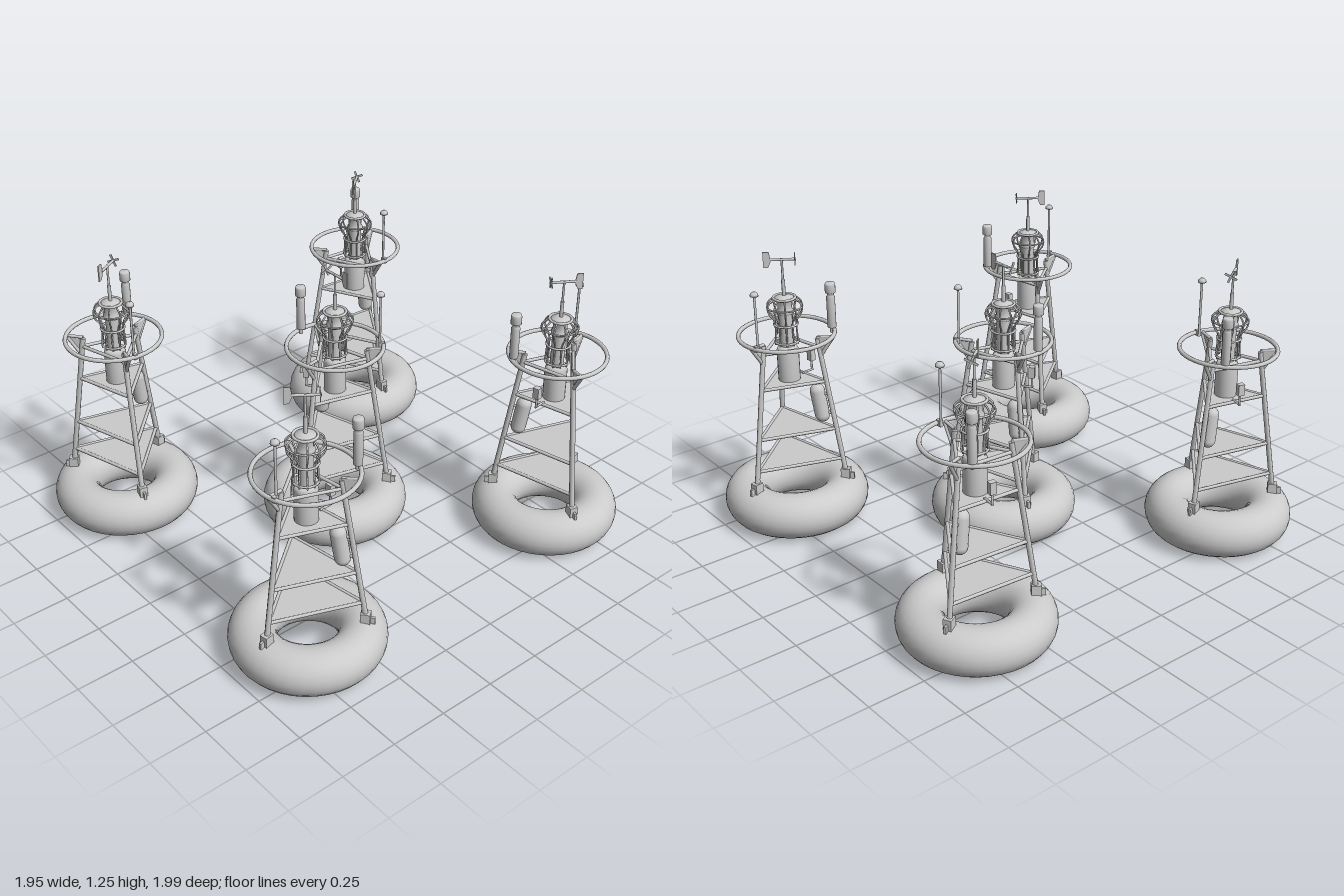
import * as THREE from 'three';

const mat = new THREE.MeshStandardMaterial({ color: 0xcccccc, side: THREE.DoubleSide });
const rad = THREE.MathUtils.degToRad;

// Point at a bearing (degrees from +x towards +z), radius and height
const at = (deg, r, y) => new THREE.Vector3(Math.cos(rad(deg)) * r, y, Math.sin(rad(deg)) * r);

function add(parent, name, geo, pos, turn = 0) {
  const m = new THREE.Mesh(geo, mat);
  m.name = name;
  if (pos) m.position.copy(pos);
  m.rotation.y = -rad(turn);
  parent.add(m);
  return m;
}

// Round bar between two points
function bar(parent, name, a, b, r, sides = 8) {
  const d = b.clone().sub(a);
  const m = add(parent, name, new THREE.CylinderGeometry(r, r, d.length(), sides), a.clone().add(b).multiplyScalar(0.5));
  m.quaternion.setFromUnitVectors(new THREE.Vector3(0, 1, 0), d.normalize());
  return m;
}

function hoop(parent, name, r, tube, y, segs = 40) {
  const g = new THREE.TorusGeometry(r, tube, 8, segs);
  g.rotateX(Math.PI / 2);
  return add(parent, name, g, new THREE.Vector3(0, y, 0));
}

const lathe = (pts, segs = 20) => new THREE.LatheGeometry(pts.map(p => new THREE.Vector2(...p)), segs);
const LEGS = [0, 120, 240];
const legR = y => 0.235 - (y - 0.2) * 0.152; // legs lean inwards

function tower(g) {
  for (const a of LEGS) {
    bar(g, 'leg', at(a, legR(0.2), 0.2), at(a, legR(0.86), 0.86), 0.0115);
    // Foot clamp with outer lug
    add(g, 'foot', new THREE.BoxGeometry(0.04, 0.05, 0.035), at(a, 0.232, 0.215), a);
    add(g, 'footLug', new THREE.BoxGeometry(0.04, 0.03, 0.01), at(a, 0.25, 0.205), a);
    bar(g, 'footPin', at(a, 0.222, 0.19), at(a, 0.222, 0.265), 0.008);
    // Gusset carrying the rail
    bar(g, 'railStrut', at(a, legR(0.78), 0.78), at(a, 0.205, 0.87), 0.008);
    bar(g, 'railArm', at(a, legR(0.86), 0.865), at(a, 0.208, 0.872), 0.007);
    const s = new THREE.Shape([[0.142, 0.79], [0.2, 0.87], [0.132, 0.87]].map(p => new THREE.Vector2(...p)));
    add(g, 'gusset', new THREE.ExtrudeGeometry(s, { depth: 0.006, bevelEnabled: false }), null, a);
    // Cross bars between neighbouring legs
    for (const y of [0.29, 0.435, 0.66, 0.82])
      bar(g, 'crossBar', at(a, legR(y), y), at(a + 120, legR(y), y), 0.0075);
  }
  // Triangular decks
  for (const y of [0.29, 0.435, 0.66]) {
    const geo = new THREE.CylinderGeometry(legR(y) - 0.004, legR(y) - 0.004, 0.005, 3);
    geo.rotateY(Math.PI / 2);
    add(g, 'deck', geo, new THREE.Vector3(0, y, 0));
  }
  hoop(g, 'guardRail', 0.206, 0.0095, 0.874, 48);
}

function lantern(g) {
  add(g, 'batteryHousing', lathe([[0, 0.635], [0.04, 0.64], [0.048, 0.65], [0.048, 0.8], [0.04, 0.82], [0, 0.82]]));
  add(g, 'lampColumn', lathe([[0.029, 0.8], [0.029, 0.965], [0.036, 0.97], [0.036, 0.985], [0.03, 0.99],
    [0.03, 1.025], [0.04, 1.03], [0.04, 1.042], [0.014, 1.05], [0, 1.05]]));
  // Bulging cage round the lamp
  for (let i = 0; i < 10; i++) {
    const a = i * 36;
    const path = new THREE.CatmullRomCurve3(
      [[0.05, 0.83], [0.05, 0.94], [0.072, 0.975], [0.075, 1.01], [0.045, 1.042]].map(([r, y]) => at(a, r, y)));
    add(g, 'cageBar', new THREE.TubeGeometry(path, 16, 0.004, 5), null);
  }
  hoop(g, 'cageRing', 0.05, 0.005, 0.84, 24);
  hoop(g, 'cageRing', 0.05, 0.005, 0.92, 24);
  hoop(g, 'cageRing', 0.075, 0.004, 1.0, 24);
  hoop(g, 'cageRing', 0.047, 0.006, 1.04, 24);
}

function windVane(g) {
  const v = new THREE.Group();
  v.name = 'windVane';
  v.rotation.y = -rad(165);
  g.add(v);
  const V = (x, y, z) => new THREE.Vector3(x, y, z);
  bar(v, 'mastSocket', V(0, 1.04, 0), V(0, 1.12, 0), 0.008);
  bar(v, 'mast', V(0, 1.1, 0), V(0, 1.215, 0), 0.005);
  bar(v, 'vaneArm', V(-0.06, 1.21, 0), V(0.05, 1.21, 0), 0.006);
  const fin = new THREE.Shape([[0.045, 1.205], [0.052, 1.245], [0.078, 1.245], [0.078, 1.175], [0.058, 1.175]]
    .map(p => new THREE.Vector2(...p)));
  add(v, 'tailFin', new THREE.ExtrudeGeometry(fin, { depth: 0.005, bevelEnabled: false }), V(0, 0, -0.0025));
  for (let i = 0; i < 4; i++) {
    const blade = add(v, 'propellerBlade', new THREE.BoxGeometry(0.004, 0.028, 0.009), V(-0.055, 1.21, 0));
    blade.rotation.x = i * Math.PI / 2 + 0.4;
    blade.translateY(0.014);
  }
}

function equipment(g) {
  // Radar beacon standing on the rail
  add(g, 'radarBeacon', lathe([[0, 0.885], [0.019, 0.885], [0.019, 1.025], [0.015, 1.03], [0.015, 1.04],
    [0.023, 1.045], [0.023, 1.08], [0.02, 1.088], [0, 1.088]], 16), at(-23, 0.197, 0));
  bar(g, 'beaconBracket', at(-23, 0.197, 0.86), at(-23, 0.197, 0.9), 0.01);
  // Antenna with mushroom cap
  bar(g, 'antennaPole', at(112, 0.19, 0.86), at(112, 0.19, 1.115), 0.0055);
  add(g, 'antennaCap', lathe([[0, 1.105], [0.018, 1.108], [0.017, 1.117], [0.01, 1.125], [0, 1.127]], 14), at(112, 0.19, 0));
  add(g, 'antennaClamp', new THREE.BoxGeometry(0.025, 0.025, 0.015), at(112, 0.198, 0.874), 112);
  // Tank slung inside the first leg, parallel to it
  const tank = add(g, 'tank', new THREE.CapsuleGeometry(0.033, 0.115, 6, 16), at(0, 0.13, 0.555));
  tank.rotation.z = Math.atan(0.152);
  for (const y of [0.51, 0.6])
    bar(g, 'tankClamp', at(0, 0.13, y), at(0, legR(y), y), 0.007);
  // Small sensor box on a bracket
  add(g, 'sensorBox', new THREE.BoxGeometry(0.025, 0.05, 0.028), at(-55, 0.125, 0.735), -55);
  bar(g, 'sensorStem', at(-55, 0.125, 0.665), at(-55, 0.125, 0.72), 0.005);
  bar(g, 'sensorArm', at(-55, 0.07, 0.665), at(-55, 0.13, 0.665), 0.005);
}

function buoy() {
  const g = new THREE.Group();
  // Ring float
  const ring = new THREE.TorusGeometry(0.22, 0.1, 24, 40);
  ring.rotateX(Math.PI / 2);
  add(g, 'float', ring, new THREE.Vector3(0, 0.1, 0));
  tower(g);
  lantern(g);
  windVane(g);
  equipment(g);
  return g;
}

export function createModel() {
  const model = new THREE.Group();
  model.name = 'buoys';
  // x, z and heading of each buoy
  const places = [[-0.66, -0.677, 244], [0.65, -0.677, 138], [0.005, 0, 195], [-0.66, 0.677, 254], [0.65, 0.677, 321]];
  const first = buoy();
  places.forEach(([x, z, heading], i) => {
    const b = first.clone();
    b.name = `buoy${i + 1}`;
    b.position.set(x, 0, z);
    b.rotation.y = -rad(heading);
    model.add(b);
  });
  return model;
}
